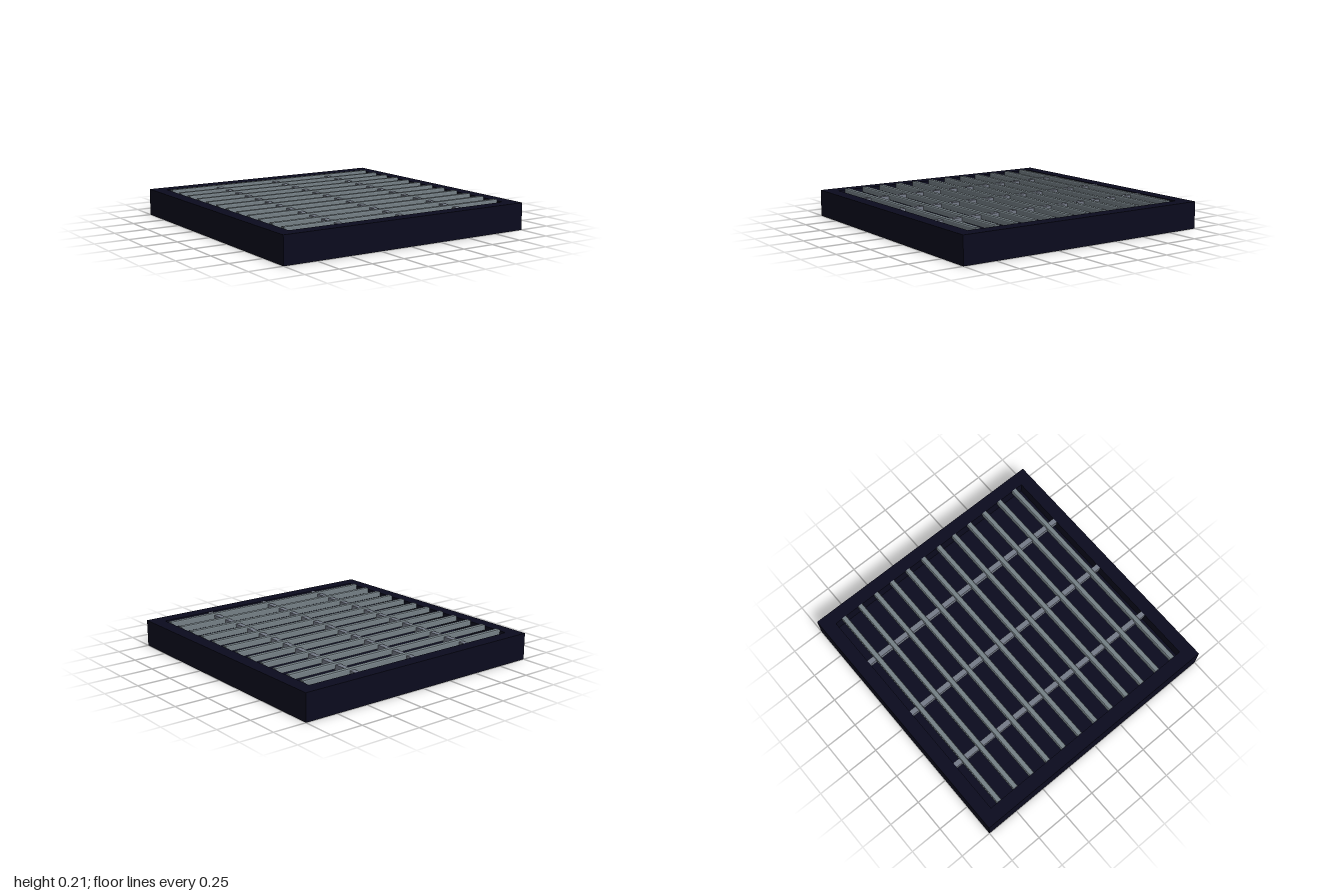
import * as THREE from 'three';

const mat = (name, color) => {
  const m = new THREE.MeshStandardMaterial({ color });
  m.name = name;
  return m;
};

export function createModel() {
  const navy = mat('dark navy', 0x0b0b1e);
  const steel = mat('slat grey', 0x758086);
  const crossSteel = mat('crossbar grey', 0x757b88);
  const model = new THREE.Group();
  model.name = 'floorGrate';

  const add = (parent, name, geometry, material, x, y, z) => {
    const mesh = new THREE.Mesh(geometry, material);
    mesh.name = name;
    mesh.position.set(x, y, z);
    parent.add(mesh);
    return mesh;
  };

  // Square rim around an open recess
  const outline = new THREE.Shape([[-1, -1], [1, -1], [1, 1], [-1, 1]].map(p => new THREE.Vector2(...p)));
  const opening = [[-0.9, -0.9], [-0.9, 0.9], [0.9, 0.9], [0.9, -0.9]].map(p => new THREE.Vector2(...p));
  outline.holes.push(new THREE.Path(opening));
  const rim = new THREE.ExtrudeGeometry(outline, { depth: 0.2, bevelEnabled: false });
  rim.rotateX(-Math.PI / 2);
  add(model, 'rim', rim, navy, 0, 0, 0);

  // Closed floor of the tray
  add(model, 'trayFloor', new THREE.BoxGeometry(1.8, 0.1, 1.8), navy, 0, 0.05, 0);

  // Slat cross-section with narrow chamfers along its top edges
  const section = new THREE.Shape(
    [[-0.02, -0.02], [0.02, -0.02], [0.02, 0.014], [0.016, 0.02], [-0.016, 0.02], [-0.02, 0.014]]
      .map(p => new THREE.Vector2(...p)));
  const slat = new THREE.ExtrudeGeometry(section, { depth: 1.8, bevelEnabled: false });
  slat.translate(0, 0, -0.9).rotateY(Math.PI / 2);

  // Twelve slats running left to right
  const slats = new THREE.Group();
  slats.name = 'slats';
  for (let i = 0; i < 12; i++) add(slats, 'slat', slat, steel, 0, 0.19, -0.825 + i * 0.15);
  model.add(slats);

  // Three crossbars just beneath the slat tops
  const crossbars = new THREE.Group();
  crossbars.name = 'crossbars';
  const bar = new THREE.BoxGeometry(0.04, 0.04, 1.8);
  for (const x of [-0.5, 0, 0.5]) add(crossbars, 'crossbar', bar, crossSteel, x, 0.178, 0);
  model.add(crossbars);

  return model;
}
